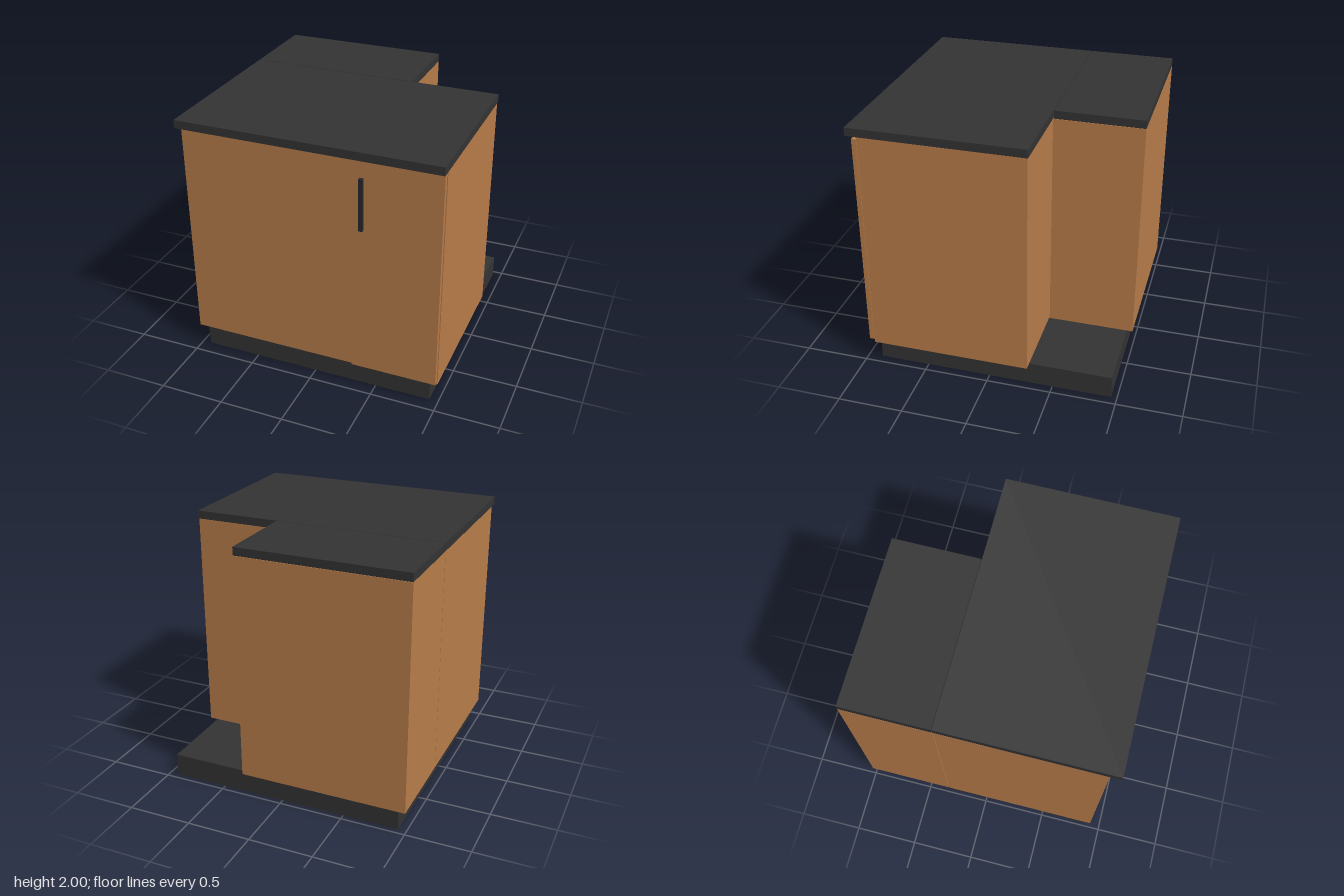
import * as THREE from 'three';

function mat(name, color) {
  const m = new THREE.MeshStandardMaterial({ color });
  m.name = name;
  return m;
}

export function createModel() {
  const group = new THREE.Group();
  group.name = 'cornerCabinet';
  const wood = mat('wood', 0xb97d4a);
  const charcoal = mat('charcoal', 0x333333);
  const black = mat('handle black', 0x262829);

  // Box given by its min and max along each axis
  function box(name, material, [x0, x1], [y0, y1], [z0, z1]) {
    const mesh = new THREE.Mesh(new THREE.BoxGeometry(x1 - x0, y1 - y0, z1 - z0), material);
    mesh.position.set((x0 + x1) / 2, (y0 + y1) / 2, (z0 + z1) / 2);
    mesh.name = name;
    group.add(mesh);
  }

  // Recessed base running under the whole footprint
  box('plinth', charcoal, [-0.935, 0.93], [0, 0.18], [-0.955, 0.89]);

  // L-shaped carcass in two units with a hairline joint
  const body = [0.18, 1.935];
  box('frontCarcass', wood, [-1, 0.995], body, [-0.317, 0.915]);
  box('backCarcass', wood, [-1, 0.317], body, [-1, -0.322]);

  // Worktops; the front one overhangs the door
  const top = [1.937, 2];
  box('frontWorktop', charcoal, [-1, 1], top, [-0.322, 1]);
  box('backWorktop', charcoal, [-1, 0.317], top, [-1, -0.327]);

  // Door and its vertical handle
  box('door', wood, [0.328, 0.99], [0.203, 1.915], [0.92, 0.957]);
  box('handle', black, [0.4, 0.43], [1.4, 1.8], [0.972, 1]);

  return group;
}
